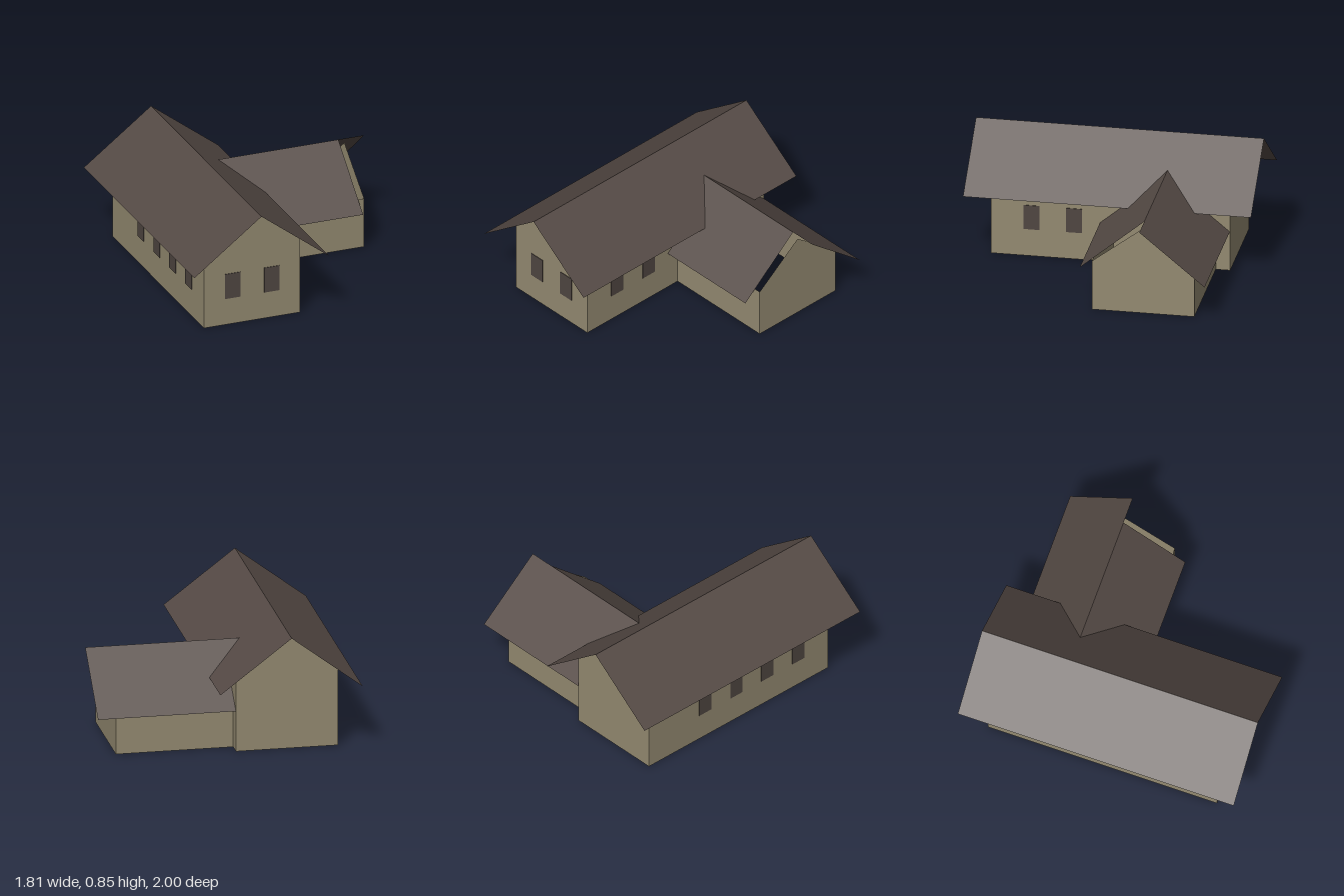
import * as THREE from 'three';

const wallMat = new THREE.MeshStandardMaterial({ color: 0x938970, side: THREE.DoubleSide });
wallMat.name = 'wall tan';
const roofMat = new THREE.MeshStandardMaterial({ color: 0x554a45, side: THREE.DoubleSide });
roofMat.name = 'roof brown';
const windowMat = new THREE.MeshStandardMaterial({ color: 0x4f4641 });
windowMat.name = 'window brown';

function add(parent, name, geometry, material) {
  const mesh = new THREE.Mesh(geometry, material);
  mesh.name = name;
  parent.add(mesh);
  return mesh;
}

// Open shell with no floor: two gable ends and two long walls, length along z
function walls(half, eave, peak, length) {
  const group = new THREE.Group();
  group.name = 'walls';
  const outline = new THREE.Shape([
    [-half, 0], [half, 0], [half, eave], [0, peak], [-half, eave],
  ].map(([x, y]) => new THREE.Vector2(x, y)));
  for (const s of [-1, 1]) {
    const gable = add(group, s > 0 ? 'frontGable' : 'backGable', new THREE.ShapeGeometry(outline), wallMat);
    gable.position.z = s * length / 2;
    if (s < 0) gable.rotation.y = Math.PI;
    const side = add(group, 'sideWall', new THREE.PlaneGeometry(length, eave), wallMat);
    side.position.set(s * half, eave / 2, 0);
    side.rotation.y = s * Math.PI / 2;
  }
  return group;
}

// Thin sloping sheet from the ridge (x = 0) down to the eave at x
function roofSlope(parent, name, x, eaveY, ridgeY, z0, z1) {
  const run = Math.abs(x), drop = ridgeY - eaveY;
  const g = new THREE.PlaneGeometry(Math.hypot(run, drop), z1 - z0);
  g.rotateX(-Math.PI / 2);
  g.rotateZ(-Math.sign(x) * Math.atan2(drop, run));
  g.translate(x / 2, (eaveY + ridgeY) / 2, (z0 + z1) / 2);
  add(parent, name, g, roofMat);
}

// Thin window plate
function windowPlate(parent, x, y, z, turn, h) {
  const pane = add(parent, 'window', new THREE.BoxGeometry(0.112, h, 0.004), windowMat);
  pane.position.set(x, y, z);
  pane.rotation.y = turn;
}

export function createModel() {
  const model = new THREE.Group();
  model.name = 'house';

  // Main house, ridge along z
  const main = new THREE.Group();
  main.name = 'mainHouse';
  main.position.x = -0.412;
  main.add(walls(0.355, 0.57, 0.838, 1.66));
  roofSlope(main, 'mainRoofLeft', 0.497, 0.468, 0.845, -1, 1);
  roofSlope(main, 'mainRoofRight', -0.495, 0.468, 0.845, -1, 1);
  model.add(main);

  // Side wing, ridge along x; its inner end runs into the main house
  const wing = new THREE.Group();
  wing.name = 'sideWing';
  wing.rotation.y = Math.PI / 2;
  wing.position.z = -0.374;
  const wingWalls = walls(0.356, 0.36, 0.63, 1.33);
  wingWalls.position.z = 0.095;
  wing.add(wingWalls);
  roofSlope(wing, 'wingRoofFront', -0.448, 0.285, 0.662, -0.3, 0.715);
  roofSlope(wing, 'wingRoofBack', 0.453, 0.288, 0.662, -0.3, 0.903);
  model.add(wing);

  // Windows on the front gable and along both long walls
  const windows = new THREE.Group();
  windows.name = 'windows';
  for (const x of [-0.556, -0.267]) windowPlate(windows, x, 0.285, 0.832, 0, 0.185);
  for (const z of [0.255, 0.55]) windowPlate(windows, -0.055, 0.287, z, Math.PI / 2, 0.178);
  for (const z of [-0.31, -0.02, 0.265, 0.555]) windowPlate(windows, -0.769, 0.287, z, -Math.PI / 2, 0.178);
  model.add(windows);

  return model;
}
